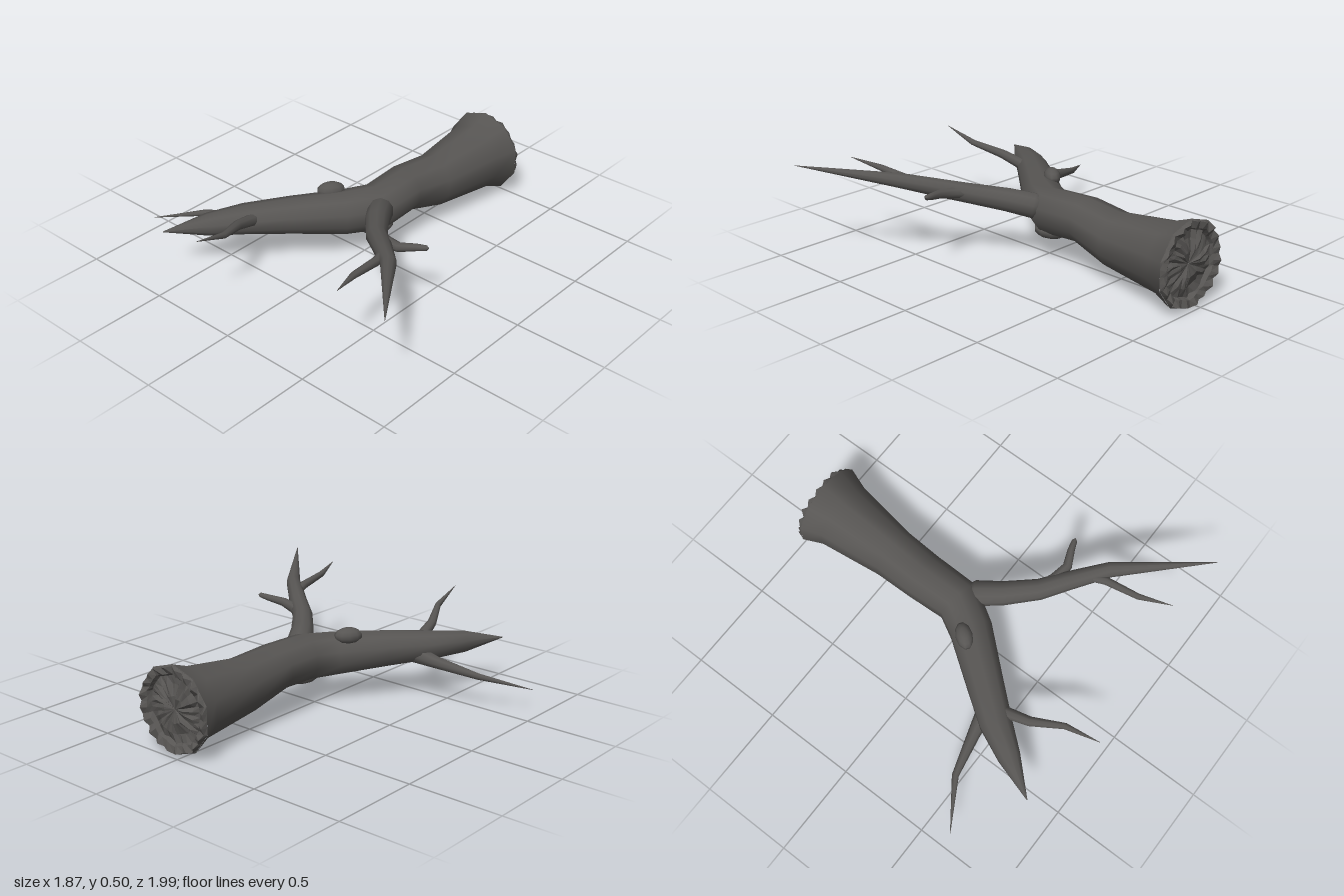
import * as THREE from 'three';

const bark = new THREE.MeshStandardMaterial({ color: 0x575553 });
bark.name = 'darkBark';

// Skin a list of equal-sized closed rings of points
function loft(rings) {
  const n = rings[0].length;
  const pos = [], index = [];
  for (const ring of rings) for (const p of ring) pos.push(p.x, p.y, p.z);
  for (let i = 0; i < rings.length - 1; i++) {
    for (let j = 0; j < n; j++) {
      const a = i * n + j, b = i * n + (j + 1) % n;
      index.push(a, b, a + n, b, b + n, a + n);
    }
  }
  const g = new THREE.BufferGeometry();
  g.setAttribute('position', new THREE.Float32BufferAttribute(pos, 3));
  g.setIndex(index);
  g.computeVertexNormals();
  return g;
}

// Tapering limb; each station is [x, y, z, radius, optional vertical radius]
function limb(name, stations, sides) {
  const pts = stations.map(s => new THREE.Vector3(s[0], s[1], s[2]));
  const up = new THREE.Vector3(0, 1, 0);
  const rings = stations.map((s, i) => {
    const before = pts[Math.max(i - 1, 0)], after = pts[Math.min(i + 1, pts.length - 1)];
    const t = after.clone().sub(before).normalize();
    const side = up.clone().cross(t).normalize();
    const top = t.clone().cross(side);
    const ring = [];
    for (let j = 0; j < sides; j++) {
      const a = Math.PI / 2 + j / sides * Math.PI * 2;
      ring.push(pts[i].clone()
        .addScaledVector(side, Math.cos(a) * s[3])
        .addScaledVector(top, Math.sin(a) * (s[4] ?? s[3])));
    }
    return ring;
  });
  const mesh = new THREE.Mesh(loft(rings), bark);
  mesh.name = name;
  return mesh;
}

// Splintered, hollowed end of the log
function brokenEnd() {
  let seed = 7;
  const rnd = () => (seed = (seed * 16807) % 2147483647) / 2147483647;
  const n = 40, sector = Math.PI / 5;
  // [radius, z, roughness, tooth height]
  const levels = [
    [0.001, -0.955, 0, 0], [0.07, -0.965, 0.02, 0], [0.13, -0.955, 0.025, 0],
    [0.175, -0.95, 0.015, 0], [0.185, -0.97, 0.015, 0],
    [0.222, -0.972, 0.012, 0.018], [0.23, -0.96, 0, 0],
  ];
  const rings = levels.map(([r, z, rough, tooth]) => {
    const ring = [];
    for (let j = 0; j < n; j++) {
      const a = Math.PI / 2 + j / n * Math.PI * 2;
      const local = (j / n * Math.PI * 2) % sector - sector / 2;
      const edge = r * Math.cos(sector / 2) / Math.cos(local);
      const dz = (rnd() - 0.5) * rough - (j % 2 ? tooth : 0);
      ring.push(new THREE.Vector3(0.05 + Math.cos(a) * edge, 0.235 + Math.sin(a) * edge, Math.max(z + dz, -1)));
    }
    return ring;
  });
  const g = loft(rings).toNonIndexed();
  g.computeVertexNormals();
  const mesh = new THREE.Mesh(g, bark);
  mesh.name = 'brokenEnd';
  return mesh;
}

function knot(name, x, y, z, sx, sy, sz, turn) {
  const mesh = new THREE.Mesh(new THREE.SphereGeometry(1, 10, 7), bark);
  mesh.position.set(x, y, z);
  mesh.scale.set(sx, sy, sz);
  mesh.rotation.y = turn;
  mesh.name = name;
  return mesh;
}

export function createModel() {
  const log = new THREE.Group();
  log.name = 'fallenLog';

  // Trunk, flared at the broken end and bending to a point
  log.add(limb('trunk', [
    [0.05, 0.235, -0.96, 0.23], [0.05, 0.237, -0.85, 0.187],
    [0.042, 0.235, -0.5, 0.137, 0.147], [0.025, 0.275, -0.28, 0.13, 0.122],
    [0.03, 0.265, -0.05, 0.125, 0.125], [-0.06, 0.267, 0.1, 0.115, 0.118],
    [-0.23, 0.277, 0.31, 0.1, 0.098], [-0.38, 0.28, 0.5, 0.087, 0.078],
    [-0.48, 0.28, 0.66, 0.06, 0.06], [-0.6, 0.278, 0.86, 0.002],
  ], 10));
  log.add(brokenEnd());

  // Knots on the trunk
  log.add(knot('upperKnot', -0.135, 0.375, 0.11, 0.045, 0.045, 0.075, -0.65));
  log.add(knot('lowerKnot', 0.04, 0.165, -0.05, 0.08, 0.045, 0.1, 0));

  // Left branch with two twigs
  log.add(limb('leftBranch', [
    [0.08, 0.295, -0.045, 0.004], [0.085, 0.295, -0.035, 0.045], [0.11, 0.3, 0, 0.068],
    [0.19, 0.325, 0.12, 0.063], [0.31, 0.355, 0.26, 0.055], [0.42, 0.388, 0.35, 0.05],
    [0.59, 0.44, 0.5, 0.04], [0.93, 0.505, 0.92, 0.001],
  ], 10));
  log.add(limb('leftInnerTwig', [
    [0.32, 0.36, 0.26, 0.035], [0.4, 0.375, 0.29, 0.03], [0.49, 0.388, 0.305, 0.025],
    [0.57, 0.405, 0.27, 0.019], [0.62, 0.415, 0.255, 0.014], [0.632, 0.417, 0.25, 0.001],
  ], 8));
  log.add(limb('leftOuterTwig', [
    [0.5, 0.42, 0.43, 0.025], [0.53, 0.432, 0.52, 0.023],
    [0.55, 0.455, 0.7, 0.017], [0.605, 0.485, 0.87, 0.001],
  ], 8));

  // Right branch and the twig on the bent trunk
  log.add(limb('rightBranch', [
    [-0.29, 0.26, 0.39, 0.06], [-0.36, 0.24, 0.42, 0.05], [-0.47, 0.217, 0.435, 0.034],
    [-0.7, 0.178, 0.488, 0.018], [-0.94, 0.12, 0.64, 0.001],
  ], 8));
  log.add(limb('rightTwig', [
    [-0.315, 0.29, 0.46, 0.032], [-0.308, 0.312, 0.53, 0.031], [-0.285, 0.345, 0.64, 0.026],
    [-0.21, 0.395, 0.8, 0.017], [-0.19, 0.46, 0.99, 0.001],
  ], 8));

  return log;
}
